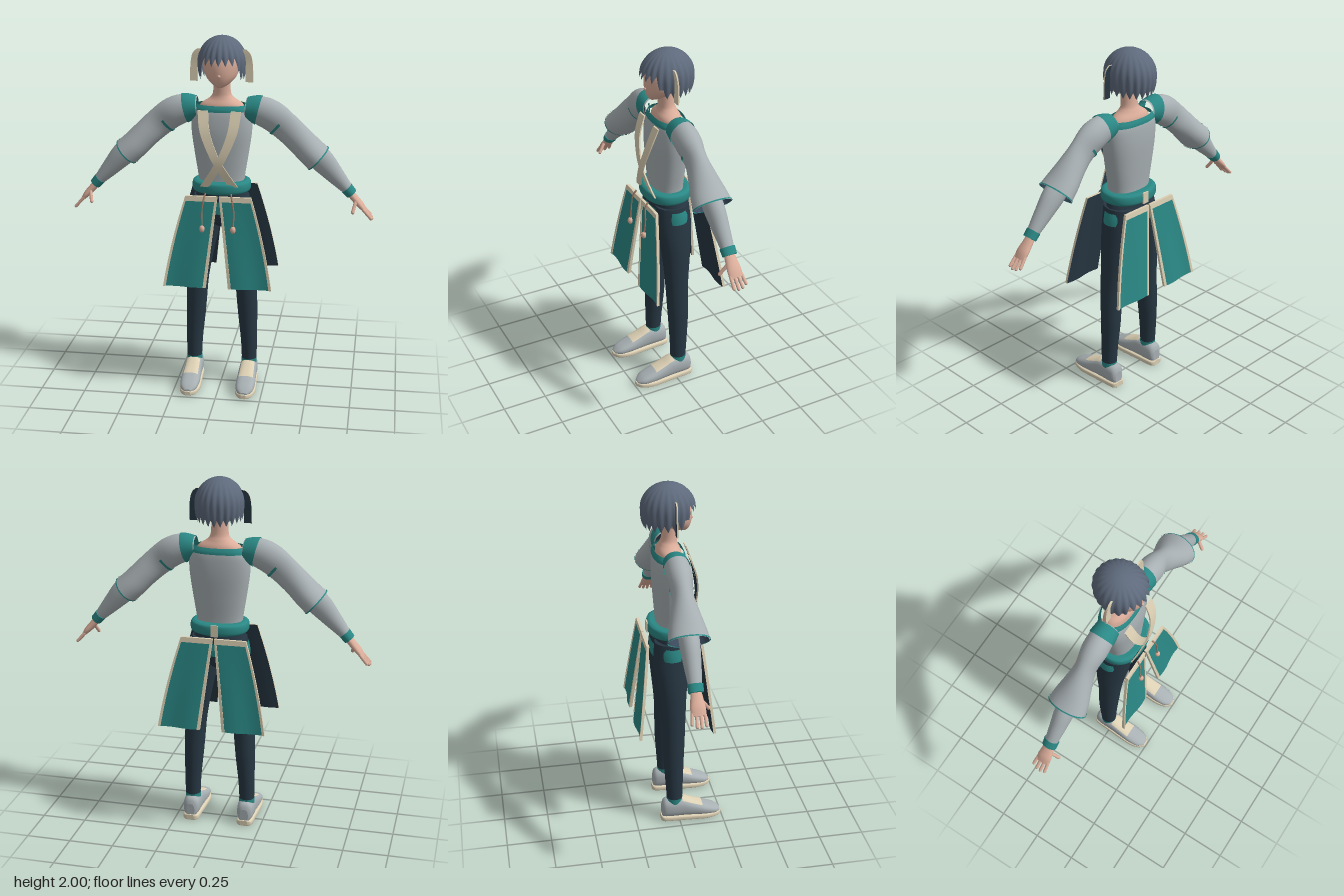
import * as THREE from 'three';

const mat = (name, color, side = THREE.FrontSide) => {
  const m = new THREE.MeshStandardMaterial({ color, side });
  m.name = name;
  return m;
};

// Catmull-Rom sample of a table of rows, t in 0..1
function sample(rows, t) {
  const n = rows.length - 1, f = Math.min(Math.max(t, 0), 1) * n;
  const i = Math.min(Math.floor(f), n - 1), k = f - i;
  const at = j => rows[Math.min(Math.max(j, 0), n)];
  return rows[0].map((_, c) => {
    const [a, b, d, e] = [at(i - 1)[c], at(i)[c], at(i + 1)[c], at(i + 2)[c]];
    return b + 0.5 * k * (d - a + k * (2 * a - 5 * b + 4 * d - e + k * (3 * (b - d) + e - a)));
  });
}

// Skin over rings { c, u, v }; u x v points along the loft
function loft(rings, { sides = 28, power = 1, t0 = 0, t1 = Math.PI * 2, caps = true, flip = false } = {}) {
  const pos = [], idx = [], closed = t1 - t0 > 6.28, cols = closed ? sides : sides + 1;
  const bend = x => Math.sign(x) * Math.abs(x) ** power;
  const addRing = r => {
    for (let j = 0; j < cols; j++) {
      const t = t0 + (t1 - t0) * j / sides, a = bend(Math.cos(t)), b = bend(Math.sin(t));
      for (let k = 0; k < 3; k++) pos.push(r.c[k] + r.u[k] * a + r.v[k] * b);
    }
  };
  const tri = (a, b, c) => flip ? idx.push(a, c, b) : idx.push(a, b, c);
  rings.forEach(addRing);
  for (let i = 0; i < rings.length - 1; i++) for (let j = 0; j < sides; j++) {
    const a = i * cols + j, b = i * cols + (j + 1) % cols;
    tri(a, b, a + cols);
    tri(b, b + cols, a + cols);
  }
  if (caps && closed) [rings[0], rings[rings.length - 1]].forEach((r, end) => {
    const base = pos.length / 3;
    addRing(r);
    pos.push(...r.c);
    for (let j = 0; j < sides; j++) {
      const a = base + j, b = base + (j + 1) % sides;
      end ? tri(a, b, base + sides) : tri(b, a, base + sides);
    }
  });
  const g = new THREE.BufferGeometry();
  g.setAttribute('position', new THREE.Float32BufferAttribute(pos, 3));
  g.setIndex(idx);
  g.computeVertexNormals();
  return g;
}
const steps = (n, f) => Array.from({ length: n + 1 }, (_, i) => f(i / n));

// Upright loft, rows [y, x, z, rx, rz]
const column = (rows, opt, n = 24) => loft(steps(n, t => {
  const [y, x, z, rx, rz] = sample(rows, t);
  return { c: [x, y, z], u: [0, 0, rz], v: [rx, 0, 0] };
}), opt);

// Arm loft, rows [x, y, radius in the arm plane, radius in z]
const arm = (rows, opt, a = 0, b = 1, grow = 0, z = -0.02) => loft(steps(22, s => {
  const t = a + (b - a) * s, [x, y, r, rz] = sample(rows, t);
  const p = sample(rows, t - 0.02), q = sample(rows, t + 0.02);
  const dx = q[0] - p[0], dy = q[1] - p[1], l = Math.hypot(dx, dy);
  return { c: [x, y, z], u: [-dy / l * (r + grow), dx / l * (r + grow), 0], v: [0, 0, rz + grow] };
}), opt);

// Shoe loft along z, rows [z, half width, bottom, top]
const shoeLoft = (rows, opt, a = 0, b = 1, grow = 0) => loft(steps(24, s => {
  const [z, rx, y0, y1] = sample(rows, a + (b - a) * s);
  return { c: [0.158, (y0 + y1) / 2, z], u: [rx + grow, 0, 0], v: [0, (y1 - y0) / 2 + grow, 0] };
}), opt);

// Thin box bent by a rule: s across, t downwards, d through
function sheet(nx, ny, rule) {
  const g = new THREE.BoxGeometry(1, 1, 1, nx, ny, 1), p = g.attributes.position;
  for (let i = 0; i < p.count; i++) p.setXYZ(i, ...rule(p.getX(i) + 0.5, 0.5 - p.getY(i), p.getZ(i)));
  g.computeVertexNormals();
  return g;
}
const strip = (path, thick = 0.008) => sheet(2, 20, (s, t, d) => {
  const [x, y, z, w] = sample(path, t);
  return [x + (s - 0.5) * 2 * w, y, z + d * thick];
});

function mirrored(g) {
  const m = g.clone(), p = m.attributes.position, ix = m.index.array;
  for (let i = 0; i < p.count; i++) p.setX(i, -p.getX(i));
  for (let i = 0; i < ix.length; i += 3) [ix[i + 1], ix[i + 2]] = [ix[i + 2], ix[i + 1]];
  const n = m.attributes.normal;
  for (let i = 0; i < n.count; i++) n.setX(i, -n.getX(i));
  return m;
}

export function createModel() {
  const root = new THREE.Group();
  root.name = 'figure';
  const grey = mat('shirtGrey', 0xa8b0b3), teal = mat('teal', 0x2a8885, THREE.DoubleSide);
  const cream = mat('cream', 0xdcd0b4), navy = mat('navy', 0x273743), skin = mat('skin', 0xdcae9b);
  const hairMat = mat('hairSlate', 0x5e6a7c, THREE.DoubleSide), lining = mat('liningBlue', 0x3a4a5c);
  const brown = mat('cordBrown', 0xa07c68);
  const add = (name, g, m) => {
    const mesh = new THREE.Mesh(g, m);
    mesh.name = name;
    root.add(mesh);
    return mesh;
  };
  const pair = (name, g, m) => { add(name + 'Left', g, m); add(name + 'Right', mirrored(g), m); };

  // Head, neck and nose
  add('head', column([[1.733, 0, 0.05, 0.012, 0.015], [1.75, 0, 0.03, 0.045, 0.05], [1.785, 0, 0.004, 0.08, 0.088],
    [1.83, 0, -0.01, 0.098, 0.105], [1.88, 0, -0.02, 0.105, 0.108], [1.94, 0, -0.025, 0.085, 0.09], [1.975, 0, -0.025, 0.03, 0.03]]), skin);
  add('neck', column([[1.58, 0, -0.03, 0.14, 0.07], [1.63, 0, -0.03, 0.115, 0.065], [1.665, 0, -0.03, 0.066, 0.05],
    [1.70, 0, -0.026, 0.048, 0.042], [1.79, 0, -0.02, 0.047, 0.042]]), skin);
  const nose = new THREE.SphereGeometry(0.009, 10, 8);
  nose.translate(0, 1.80, 0.094);
  add('nose', nose, skin);

  // Bobbed hair: a lobed dome with a jagged lower edge, short over the face
  const edge = th => {
    const a = Math.abs(th), tooth = Math.abs(((a * 11 / Math.PI + 0.5) % 1) * 2 - 1);
    const low = a < 0.75 ? 1.875 : a < 1.05 ? 1.875 - (a - 0.75) / 0.3 * 0.085 : 1.79 - (a - 1.05) * 0.008;
    return low + (tooth - 0.5) * 0.04;
  };
  const hp = [], hi = [], U = 132, V = 18;
  for (let j = 0; j <= V; j++) for (let i = 0; i < U; i++) {
    const th = -Math.PI + i / U * Math.PI * 2;
    const ph = Math.acos((edge(th) - 1.862) / 0.138) * j / V;
    const r = (ph < Math.PI / 2 ? Math.sin(ph) : Math.sin(ph) ** 0.45) * (1 + 0.035 * (j / V) * Math.cos(th * 22));
    hp.push(0.13 * r * Math.sin(th), 1.862 + 0.138 * Math.cos(ph), -0.032 + 0.144 * r * Math.cos(th));
    if (j < V) {
      const a = j * U + i, b = j * U + (i + 1) % U;
      hi.push(a, a + U, b, b, a + U, b + U);
    }
  }
  const hair = new THREE.BufferGeometry();
  hair.setAttribute('position', new THREE.Float32BufferAttribute(hp, 3));
  hair.setIndex(hi);
  hair.computeVertexNormals();
  add('hair', hair, hairMat);

  // Hair ribbons, cream in front and dark behind
  const twoFaced = [cream, cream, cream, cream, cream, navy];
  pair('hairRibbon', strip([[0.12, 1.93, -0.01, 0.012], [0.138, 1.905, -0.01, 0.018], [0.148, 1.85, -0.012, 0.02], [0.15, 1.755, -0.01, 0.021]]), twoFaced);

  // Shirt body with its collar
  const body = [[1.15, 0, -0.02, 0.128, 0.085], [1.22, 0, -0.02, 0.127, 0.083], [1.35, 0, -0.022, 0.147, 0.09],
    [1.48, 0, -0.024, 0.165, 0.096], [1.57, 0, -0.028, 0.165, 0.09], [1.615, 0, -0.03, 0.145, 0.08]];
  add('shirtBody', column(body, { power: 0.85, sides: 40, caps: false }), grey);
  add('collar', column([[1.597, 0, -0.03, 0.158, 0.088], [1.612, 0, -0.03, 0.151, 0.086], [1.63, 0, -0.03, 0.135, 0.077]],
    { power: 0.85, sides: 40, caps: false }, 6), teal);

  // Sleeves with puffed shoulder, flared end and dark lining
  const sleeve = [[0.13, 1.61, 0.055, 0.058], [0.20, 1.602, 0.077, 0.066], [0.27, 1.575, 0.083, 0.068], [0.345, 1.518, 0.079, 0.056],
    [0.42, 1.45, 0.076, 0.076], [0.48, 1.39, 0.077, 0.097], [0.53, 1.345, 0.078, 0.108]];
  const open = { caps: false };
  pair('sleeve', arm(sleeve, open), grey);
  pair('sleeveLining', arm(sleeve, { caps: false, flip: true }, 0.5, 1, -0.004), lining);
  pair('shoulderBand', arm(sleeve, open, 0.02, 0.17, 0.005), teal);
  pair('sleeveCuff', arm(sleeve, open, 0.972, 1, 0.003), teal);
  pair('elbowSeam', arm(sleeve, { t0: Math.PI / 2, t1: Math.PI * 1.5 }, 0.43, 0.455, 0.004), teal);
  const forearm = [[0.44, 1.43, 0.06, 0.05], [0.54, 1.342, 0.066, 0.053], [0.62, 1.257, 0.05, 0.045], [0.70, 1.17, 0.029, 0.034]];
  pair('forearm', arm(forearm), grey);
  pair('wristBand', arm([[0.686, 1.186, 0.034, 0.042], [0.715, 1.153, 0.031, 0.04]]), teal);

  // Hands
  pair('palm', arm([[0.70, 1.165, 0.02, 0.027], [0.735, 1.125, 0.02, 0.034], [0.765, 1.092, 0.018, 0.04], [0.79, 1.062, 0.01, 0.037]], { sides: 16 }), skin);
  const finger = (name, a, b, r) => {
    const A = new THREE.Vector3(...a), d = new THREE.Vector3(...b).sub(A);
    const g = new THREE.CapsuleGeometry(r, d.length(), 4, 10);
    g.applyQuaternion(new THREE.Quaternion().setFromUnitVectors(new THREE.Vector3(0, 1, 0), d.clone().normalize()));
    g.translate(...A.addScaledVector(d, 0.5).toArray());
    pair(name, g, skin);
  };
  [-0.052, -0.031, -0.010, 0.011].forEach((z, i) => {
    const reach = [0.80, 1, 1.05, 0.95][i];
    finger('finger' + (i + 1), [0.778, 1.075, z], [0.778 + 0.048 * reach, 1.075 - 0.053 * reach, z * 1.15], 0.0085);
  });
  finger('thumb', [0.738, 1.115, 0.008], [0.725, 1.065, 0.042], 0.0095);

  // Crossed straps
  const strapPath = [[-0.09, 1.61, 0.068, 0.028], [-0.075, 1.5, 0.105, 0.027], [-0.025, 1.37, 0.12, 0.024], [0.025, 1.28, 0.11, 0.024], [0.078, 1.195, 0.09, 0.025]];
  const strapGeo = strip(strapPath);
  add('strapRight', strapGeo, twoFaced);
  add('strapLeft', mirrored(strapGeo).translate(0, 0, 0.009), twoFaced);

  // Belt, back tab, hips
  add('belt', column([[1.148, 0, -0.02, 0.142, 0.115], [1.158, 0, -0.02, 0.158, 0.128], [1.182, 0, -0.02, 0.162, 0.131],
    [1.205, 0, -0.02, 0.157, 0.127], [1.214, 0, -0.02, 0.14, 0.112]], { power: 0.9, sides: 40 }), teal);
  add('beltTab', new THREE.BoxGeometry(0.04, 0.064, 0.008).translate(0, 1.182, -0.151), cream);
  add('hips', column([[0.945, 0, -0.03, 0.03, 0.05], [0.98, 0, -0.03, 0.10, 0.085], [1.04, 0, -0.028, 0.155, 0.1], [1.16, 0, -0.02, 0.135, 0.09]], { sides: 36 }), navy);
  add('hipBand', column([[1.03, 0, -0.03, 0.174, 0.106], [1.065, 0, -0.03, 0.17, 0.106], [1.10, 0, -0.028, 0.162, 0.102]], { caps: false, sides: 36 }, 6), teal);

  // Legs and ankle bands
  pair('leg', column([[1.12, 0.075, -0.026, 0.078, 0.095], [1.0, 0.087, -0.03, 0.083, 0.1], [0.9, 0.102, -0.03, 0.081, 0.09], [0.8, 0.117, -0.03, 0.074, 0.079],
    [0.64, 0.135, -0.026, 0.062, 0.066], [0.5, 0.144, -0.027, 0.058, 0.061], [0.4, 0.149, -0.029, 0.054, 0.058], [0.25, 0.157, -0.027, 0.046, 0.05],
    [0.13, 0.159, -0.025, 0.042, 0.044]].reverse()), navy);
  pair('ankleBand', column([[0.11, 0.159, -0.025, 0.044, 0.045], [0.148, 0.159, -0.025, 0.0435, 0.0455]], open, 3), teal);

  // Shoes
  const shoe = [[-0.10, 0.024, 0.02, 0.10], [-0.085, 0.042, 0.02, 0.132], [-0.04, 0.049, 0.02, 0.142], [0.02, 0.05, 0.02, 0.14],
    [0.08, 0.052, 0.02, 0.115], [0.15, 0.054, 0.02, 0.088], [0.21, 0.044, 0.02, 0.064], [0.24, 0.018, 0.025, 0.042]];
  pair('shoe', shoeLoft(shoe, { power: 0.8 }), grey);
  pair('shoeTongue', shoeLoft(shoe, { power: 0.8, t0: 0.85, t1: Math.PI - 0.85 }, 0.42, 0.68, 0.003), cream);
  pair('sole', shoeLoft([[-0.106, 0.022, 0.002, 0.034], [-0.088, 0.044, 0, 0.035], [0, 0.05, 0, 0.035], [0.08, 0.055, 0, 0.035],
    [0.16, 0.057, 0, 0.034], [0.22, 0.042, 0.003, 0.034], [0.247, 0.015, 0.008, 0.032]], { power: 0.5 }), cream);

  // Split skirt: two panels in front, two behind, with cream borders and dark inside
  const panelFaces = [cream, cream, cream, teal, teal, navy], borderFaces = Array(6).fill(cream);
  [['front', 0.118, 0.172, false], ['back', 0.172, 0.236, true]].forEach(([side, zTop, zLow, behind]) => {
    const piece = (s0, s1, t0, t1, lift, thick) => {
      const g = sheet(8, 14, (a, b, d) => {
        const s = s0 + (s1 - s0) * a, t = t0 + (t1 - t0) * b;
        const inner = 0.004 + 0.058 * t, outer = 0.18 + 0.16 * t - 0.04 * t * t;
        const z = zTop + (zLow - zTop) * t + 0.006 * Math.sin(s * Math.PI * 2) * t;
        return [inner + (outer - inner) * s, 1.147 - 0.51 * t, z + lift + d * thick];
      });
      return behind ? g.rotateY(Math.PI) : g;
    };
    pair(side + 'Panel', piece(0, 1, 0, 1, 0, 0.012), panelFaces);
    [[0, 0.07, 0, 1], [0.94, 1, 0, 1], [0.07, 0.94, 0, 0.055]].forEach((r, i) =>
      pair(side + ['InnerBorder', 'OuterBorder', 'TopBorder'][i], piece(...r, 0.0065, 0.005), borderFaces));
  });

  // Hanging cords with beads
  const cord = new THREE.CatmullRomCurve3([[0.07, 1.165, 0.118], [0.078, 1.13, 0.138], [0.088, 1.06, 0.143], [0.085, 0.985, 0.15]].map(p => new THREE.Vector3(...p)));
  pair('cord', new THREE.TubeGeometry(cord, 16, 0.0045, 8), brown);
  pair('bead', new THREE.SphereGeometry(0.015, 14, 10).scale(1, 1.35, 1).translate(0.085, 0.97, 0.152), skin);
  return root;
}
